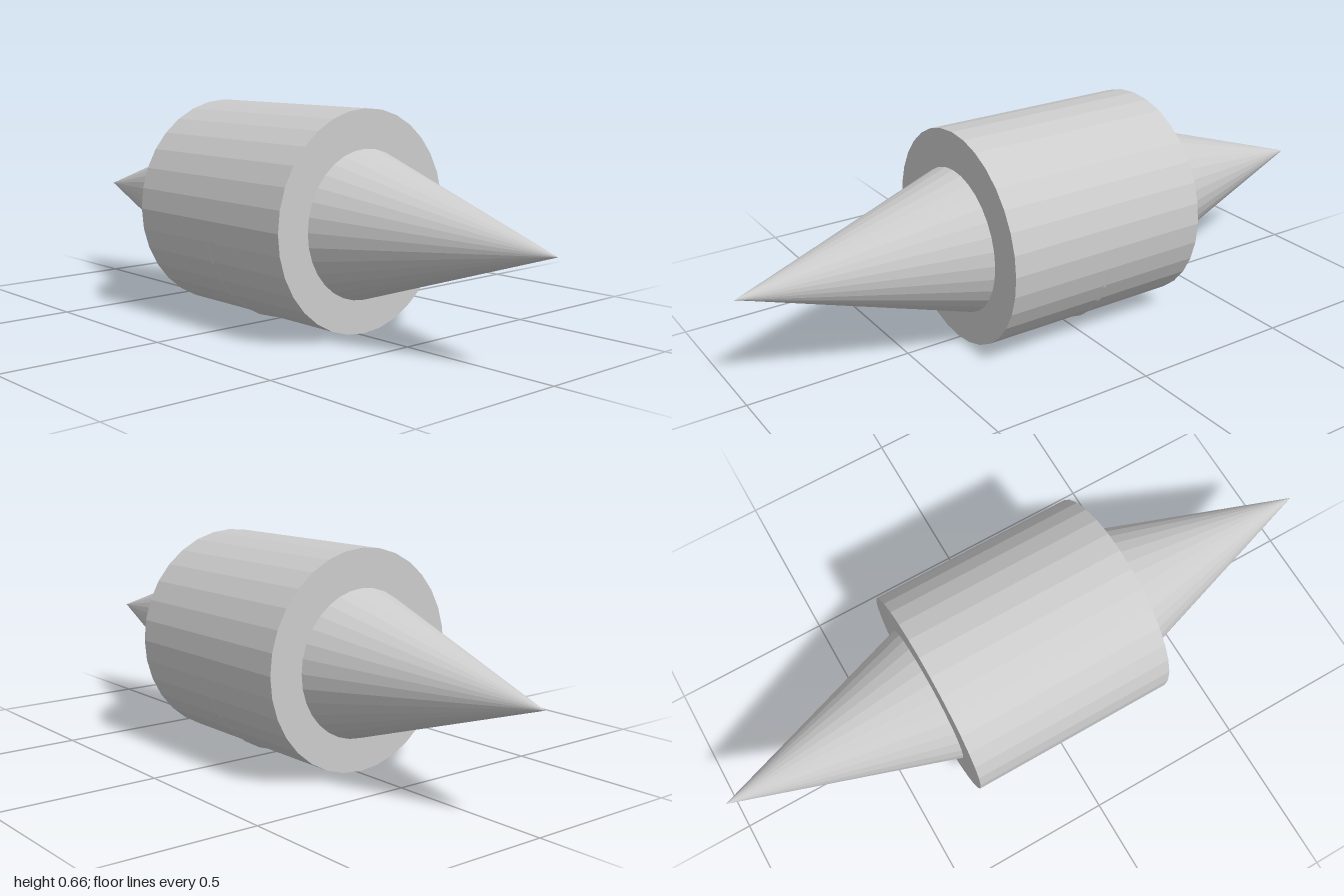
import * as THREE from 'three';

const SIDES = 32;

export function createModel() {
  const group = new THREE.Group();
  const material = new THREE.MeshStandardMaterial({ color: 0xcccccc, flatShading: true });

  const addPart = (name, geometry, y) => {
    const mesh = new THREE.Mesh(geometry, material);
    mesh.name = name;
    mesh.position.y = y;
    group.add(mesh);
  };

  // Drum lying along x
  addPart('drum', new THREE.CylinderGeometry(0.3265, 0.3265, 0.652, SIDES).rotateZ(-Math.PI / 2), 0.3325);

  // Two spikes meeting base to base inside the drum, set slightly lower
  // so that their shared rim shows as a thin ridge under it
  for (const [name, side] of [['leftSpike', 1], ['rightSpike', -1]]) {
    const spike = new THREE.ConeGeometry(0.325, 1, SIDES, 1, true);
    spike.translate(0, 0.5, 0).rotateZ(-side * Math.PI / 2);
    addPart(name, spike, 0.325);
  }

  return group;
}
